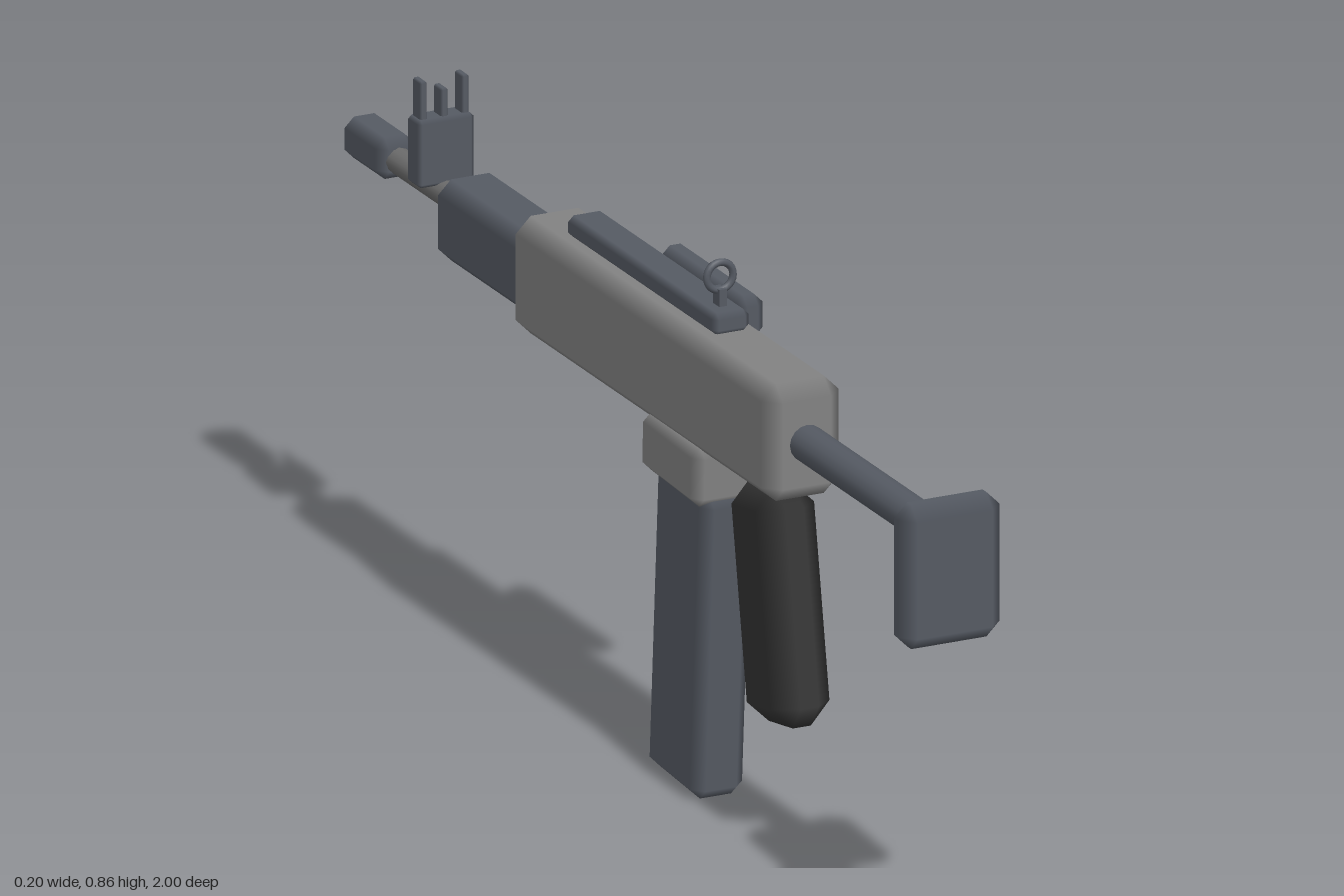
import * as THREE from 'three';
import { ConvexGeometry } from 'three/addons/geometries/ConvexGeometry.js';

const CX = -0.015; // centre plane of the body

const paint = (color) => new THREE.MeshStandardMaterial({ color });
const grey = paint(0x828282);
const steel = paint(0x555a63);
const barrelGrey = paint(0x6c6c6c);
const black = paint(0x333333);

// Box with one chamfer per edge; normals follow the six main faces
function chamferBox(w, h, d, c) {
  const half = [w / 2, h / 2, d / 2];
  const points = [];
  for (const sx of [-1, 1]) for (const sy of [-1, 1]) for (const sz of [-1, 1]) {
    const s = [sx, sy, sz];
    for (let axis = 0; axis < 3; axis++) {
      points.push(new THREE.Vector3(...half.map((v, i) => s[i] * (i === axis ? v : v - c))));
    }
  }
  const geo = new ConvexGeometry(points);
  const { position, normal } = geo.attributes;
  for (let i = 0; i < position.count; i++) {
    const p = [position.getX(i), position.getY(i), position.getZ(i)];
    const n = p.map((v, k) => (Math.abs(v) > half[k] - c * 0.5 ? Math.sign(v) : 0));
    normal.setXYZ(i, ...n);
  }
  return geo;
}

export function createModel() {
  const model = new THREE.Group();

  const add = (name, geometry, material, x, y, z, tilt = 0) => {
    const mesh = new THREE.Mesh(geometry, material);
    mesh.name = name;
    mesh.position.set(x, y, z);
    mesh.rotation.x = tilt;
    model.add(mesh);
    return mesh;
  };

  // Box given by its y and z ranges
  const block = (name, material, w, [y0, y1], [z0, z1], c, x = CX) =>
    add(name, chamferBox(w, y1 - y0, z1 - z0, c), material, x, (y0 + y1) / 2, (z0 + z1) / 2);

  // Round bar along z
  const bar = (name, material, r, y, z0, z1, sides) =>
    add(name, new THREE.CylinderGeometry(r, r, z1 - z0, sides), material, CX, y, (z0 + z1) / 2, Math.PI / 2);

  // Body
  block('receiver', grey, 0.13, [0.57, 0.757], [-0.37, 0.503], 0.025);
  block('handguard', steel, 0.108, [0.593, 0.722], [-0.65, -0.33], 0.022);
  block('topRail', steel, 0.062, [0.755, 0.79], [-0.246, 0.252], 0.009);
  block('sideHandle', steel, 0.048, [0.694, 0.764], [-0.134, 0.142], 0.015, 0.074);

  // Barrel and muzzle
  bar('barrel', barrelGrey, 0.021, 0.669, -0.9, -0.6, 12);
  block('muzzle', steel, 0.066, [0.638, 0.704], [-1, -0.865], 0.016);

  // Stock
  bar('stockTube', steel, 0.029, 0.664, 0.47, 0.96, 16);
  block('buttPlate', steel, 0.17, [0.5, 0.73], [0.943, 1], 0.022);

  // Grip, magazine and its well lean
  add('grip', chamferBox(0.098, 0.372, 0.15, 0.034), black, CX, 0.382, 0.413, -0.17);
  add('magazine', chamferBox(0.088, 0.495, 0.17, 0.018), steel, CX, 0.253, 0.144, 0.065);
  add('magazineWell', chamferBox(0.117, 0.097, 0.192, 0.016), grey, CX, 0.531, 0.148, 0.04);

  // Rear ring sight
  add('rearSightRing', new THREE.TorusGeometry(0.022, 0.006, 8, 24), steel, CX, 0.835, 0.21);
  add('rearSightPost', new THREE.BoxGeometry(0.013, 0.034, 0.022), steel, CX, 0.8, 0.21);

  // Front sight: base with a middle post between two taller ears
  block('frontSightBase', steel, 0.094, [0.682, 0.79], [-0.748, -0.706], 0.006);
  for (const [name, dx, top] of [['frontSightEarRight', -0.035, 0.85], ['frontSightPost', 0, 0.834], ['frontSightEarLeft', 0.035, 0.85]]) {
    block(name, steel, 0.012, [0.77, top], [-0.741, -0.713], 0.003, CX + dx);
  }

  return model;
}
